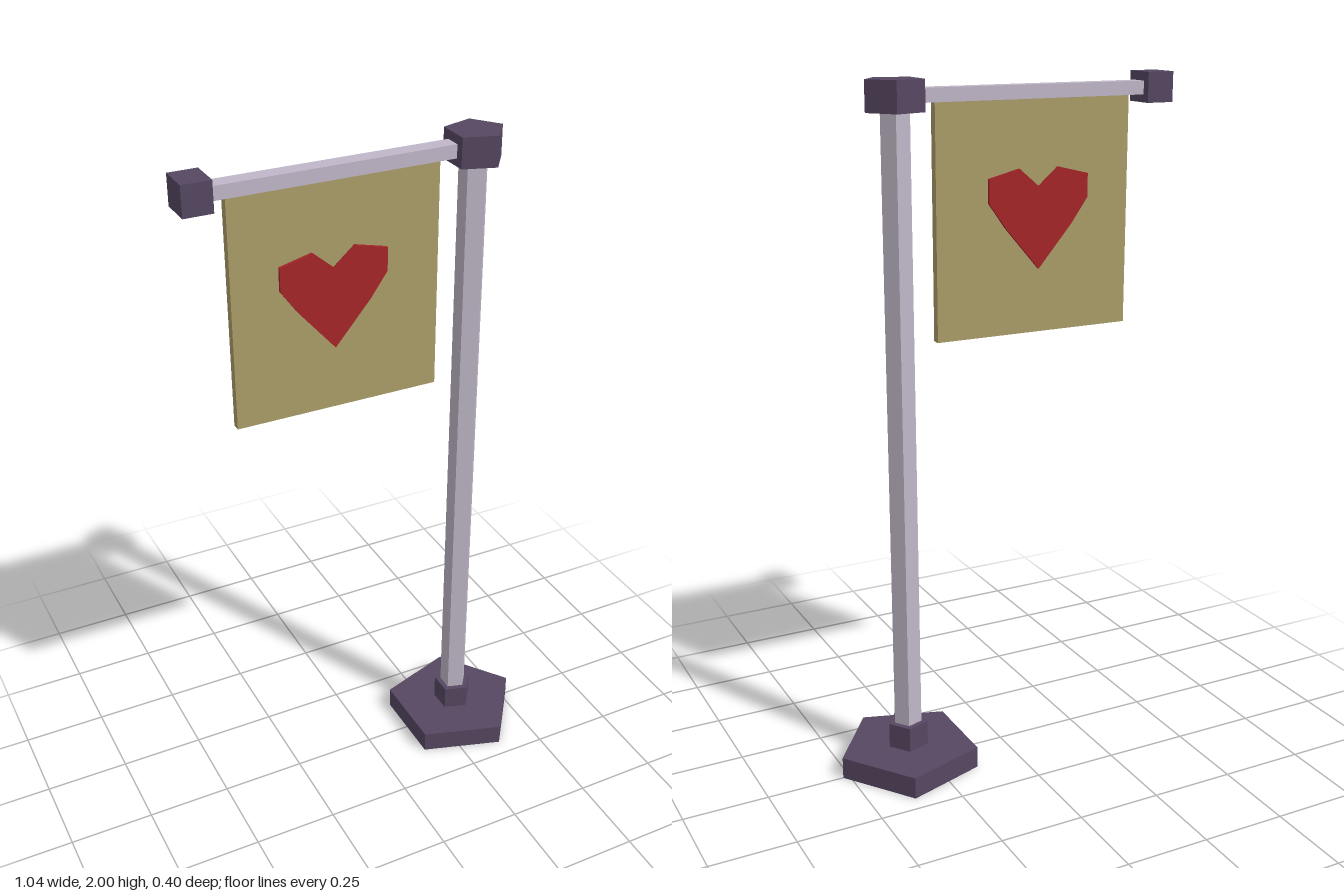
import * as THREE from 'three';

const mat = (color) => new THREE.MeshStandardMaterial({ color, flatShading: true, side: THREE.DoubleSide });

export function createModel() {
  const group = new THREE.Group();
  const dark = mat(0x564762), pale = mat(0xc0b7c8), cloth = mat(0xab9d69), red = mat(0xa52528);
  const poleX = 0.31;

  const add = (name, geometry, material, x, y, z = 0) => {
    const mesh = new THREE.Mesh(geometry, material);
    mesh.name = name;
    mesh.position.set(x, y, z);
    group.add(mesh);
  };

  // Five-sided turned shell, with one corner pointing to +x
  const pentagon = (name, material, profile) => add(
    name,
    new THREE.LatheGeometry(profile.map(([r, y]) => new THREE.Vector2(r, y)), 5, Math.PI / 2),
    material, poleX, 0);

  // Post: hollow foot with collar, shaft, and cap
  pentagon('base', dark, [[0.21, 0], [0.21, 0.065], [0.06, 0.065], [0.06, 0.14], [0.0415, 0.14]]);
  pentagon('pole', pale, [[0.0415, 0.14], [0.0415, 1.915]]);
  pentagon('poleCap', dark, [[0.0415, 1.915], [0.083, 1.915], [0.083, 2], [0, 2]]);

  // Cross arm and its end block
  add('arm', new THREE.BoxGeometry(0.7, 0.038, 0.048), pale, -0.1, 1.956);
  add('armEnd', new THREE.BoxGeometry(0.082, 0.085, 0.095), dark, -0.483, 1.9575);

  // Hanging banner
  add('banner', new THREE.BoxGeometry(0.6, 0.655, 0.025), cloth, -0.1, 1.6125);

  // Heart passing through the banner so it shows on both faces
  const half = [[0, 1.698], [0.061, 1.75], [0.155, 1.727], [0.155, 1.66], [0.105, 1.59], [0, 1.468]];
  const mirrored = half.slice(1, -1).reverse().map(([x, y]) => [-x, y]);
  const outline = [...half, ...mirrored].map(([x, y]) => new THREE.Vector2(x, y));
  const depth = 0.042;
  add('heart', new THREE.ExtrudeGeometry(new THREE.Shape(outline), { depth, bevelEnabled: false }),
    red, -0.111, 0, -depth / 2);

  return group;
}
